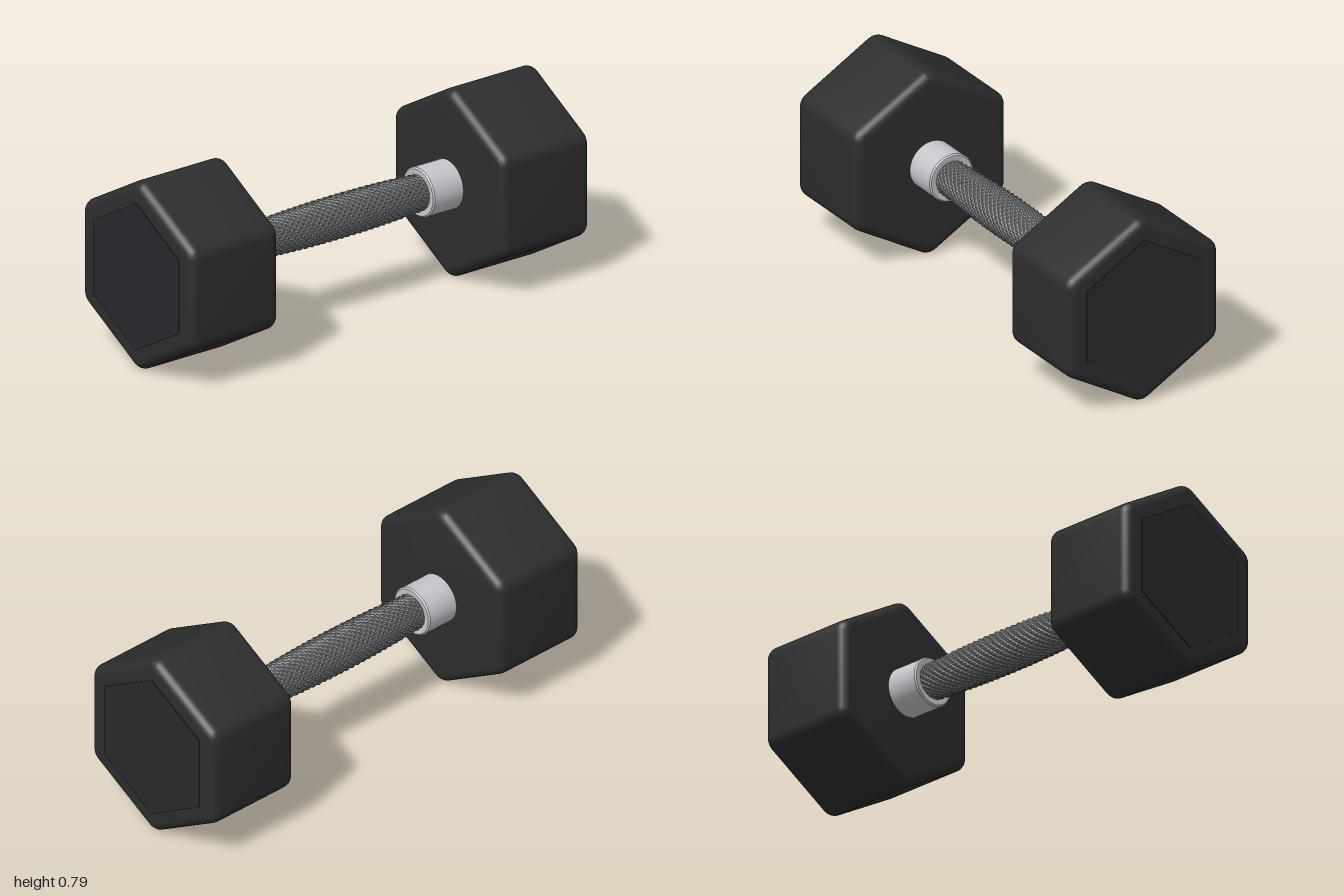
import * as THREE from 'three';
import { toCreasedNormals } from 'three/addons/utils/BufferGeometryUtils.js';

const CENTER_Y = 0.395;
const mat = (color, flatShading = false) => new THREE.MeshStandardMaterial({ color, flatShading });

// Hexagon with a corner at the top and, optionally, rounded corners
function hexShape(apothem, radius = 0) {
  const shape = new THREE.Shape();
  const inner = (apothem - radius) / Math.cos(Math.PI / 6);
  const steps = radius > 0 ? 6 : 0;
  for (let i = 0; i < 6; i++) {
    const mid = Math.PI / 2 + i * Math.PI / 3;
    for (let j = 0; j <= steps; j++) {
      const a = steps ? mid + (j / steps - 0.5) * Math.PI / 3 : mid;
      const x = inner * Math.cos(mid) + radius * Math.cos(a);
      const y = inner * Math.sin(mid) + radius * Math.sin(a);
      if (i + j === 0) shape.moveTo(x, y);
      else shape.lineTo(x, y);
    }
  }
  shape.closePath();
  return shape;
}

// Extruded hexagon running along x from x0 to x1, edges rounded by bevel
function hexPrism(apothem, radius, x0, x1, bevel) {
  const geo = new THREE.ExtrudeGeometry(hexShape(apothem - bevel, radius), {
    depth: x1 - x0 - 2 * bevel,
    bevelEnabled: bevel > 0,
    bevelSize: bevel,
    bevelThickness: bevel,
    bevelSegments: 6,
  });
  geo.translate(0, 0, x0 + bevel);
  geo.rotateY(Math.PI / 2);
  return toCreasedNormals(geo, 0.35);
}

// Barrel-shaped grip covered in small diamond pyramids
function knurledGrip(length, endRadius, midRadius) {
  const around = 20, along = 28, depth = 0.006;
  const geo = new THREE.CylinderGeometry(1, 1, length, around * 4, along * 4, true);
  const pos = geo.attributes.position;
  const tri = (t) => 1 - Math.abs(2 * (t - Math.floor(t)) - 1);
  for (let i = 0; i < pos.count; i++) {
    const x = pos.getX(i), y = pos.getY(i), z = pos.getZ(i);
    const u = Math.atan2(z, x) / (2 * Math.PI) * around;
    const v = y / length * along;
    const s = 2 * y / length;
    const r = endRadius + (midRadius - endRadius) * (1 - s * s)
      + depth * (Math.min(tri(u + v), tri(u - v)) - 0.5);
    pos.setXYZ(i, x * r, y, z * r);
  }
  geo.rotateZ(-Math.PI / 2);
  geo.computeVertexNormals();
  return geo;
}

export function createModel() {
  const model = new THREE.Group();
  model.name = 'dumbbell';
  const add = (parent, name, geo, material) => {
    const mesh = new THREE.Mesh(geo, material);
    mesh.name = name;
    parent.add(mesh);
  };

  const rubber = mat(0x2d2d2e);
  const panel = mat(0x29292d);
  const steel = mat(0xc4c6ca);

  const headGeo = hexPrism(0.35, 0.022, 0.555, 0.996, 0.04);
  const panelGeo = hexPrism(0.269, 0, 0.98, 1.0, 0);

  // Collar: short sleeve with softened rim, closing in on the grip
  const collarProfile = [[0.06, 0.415], [0.08, 0.408], [0.096, 0.408], [0.102, 0.414], [0.102, 0.57]]
    .map(([r, x]) => new THREE.Vector2(r, x));
  const collarGeo = toCreasedNormals(new THREE.LatheGeometry(collarProfile, 48).rotateZ(-Math.PI / 2), 0.5);

  // One weight at each end
  for (const side of [1, -1]) {
    const end = new THREE.Group();
    end.name = side > 0 ? 'leftWeight' : 'rightWeight';
    add(end, 'hexHead', headGeo, rubber);
    add(end, 'endPanel', panelGeo, panel);
    add(end, 'collar', collarGeo, steel);
    end.rotation.y = side > 0 ? 0 : Math.PI;
    end.position.y = CENTER_Y;
    model.add(end);
  }

  // Grip between the collars
  const grip = new THREE.Group();
  grip.name = 'grip';
  grip.position.y = CENTER_Y;
  add(grip, 'knurledHandle', knurledGrip(0.84, 0.072, 0.086), mat(0x85878a, true));
  model.add(grip);

  return model;
}
